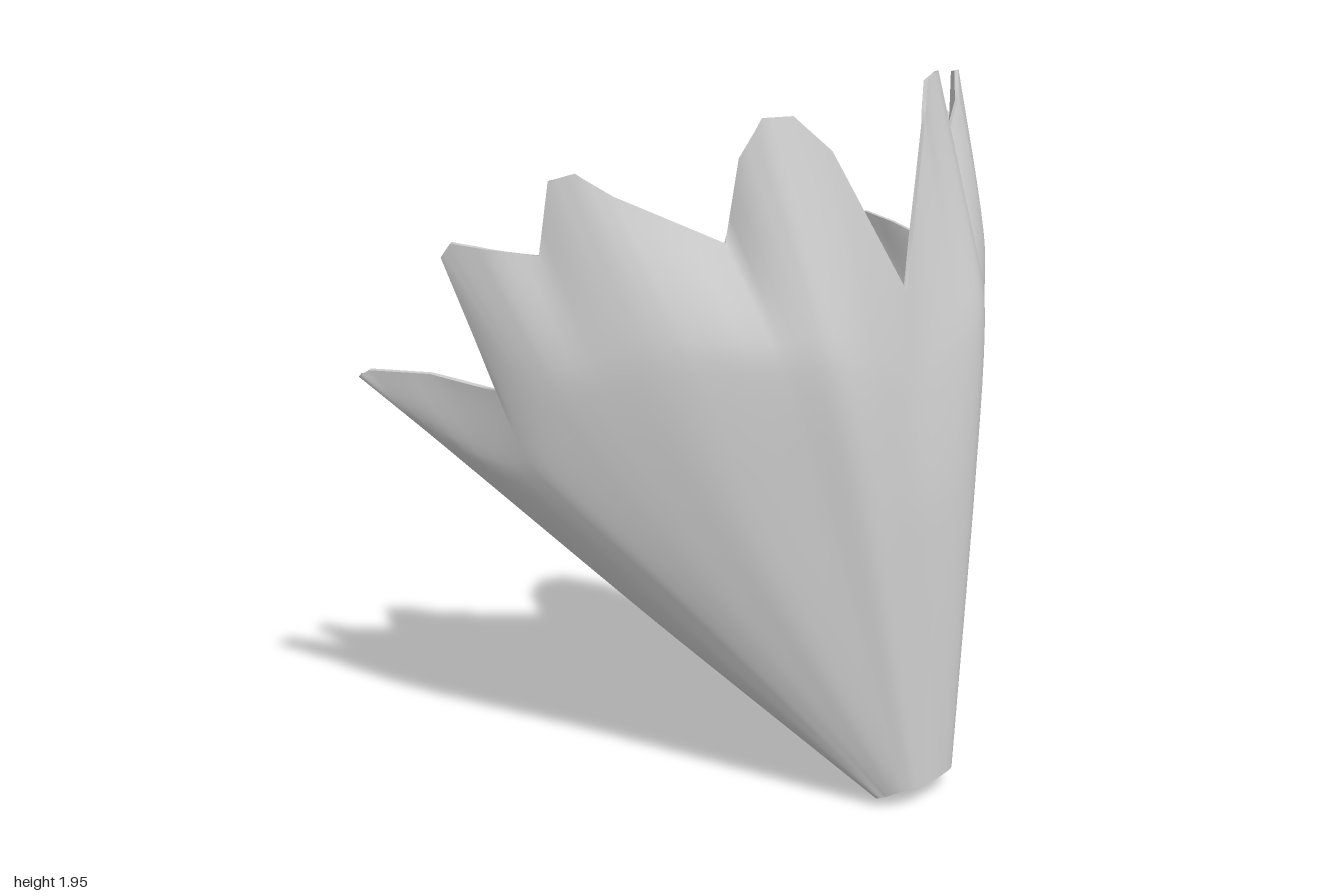
import * as THREE from 'three';

// Rings of the fan from its centre line to the back edge: [u, x, y, z]
const base = [
  [0, 0, 0.075, 0.587], [0.9, 0.07, 0.073, 0.577], [1.5, 0.1, 0.066, 0.557], [2.4, 0.115, 0.055, 0.535],
  [3.5, 0.125, 0.04, 0.51], [5, 0.13, 0.025, 0.48], [5.3, 0.08, 0, 0.455],
];
const middle = [
  [0, 0, 0.85, 0.53], [1, 0.2, 0.88, 0.525], [1.5, 0.285, 0.82, 0.455], [2.4, 0.41, 0.77, 0.35],
  [3, 0.465, 0.73, 0.275], [3.5, 0.5, 0.68, 0.21], [4, 0.515, 0.62, 0.14], [5, 0.5, 0.54, 0], [5.3, 0.43, 0.53, -0.1],
];
const shoulder = [
  [0, 0, 1.2, 0.48], [1, 0.28, 1.36, 0.468], [1.5, 0.41, 1.36, 0.37], [2.4, 0.63, 1.38, 0.2],
  [3, 0.75, 1.32, 0.06], [3.5, 0.82, 1.26, -0.04], [4, 0.81, 1.04, -0.11], [5, 0.88, 1.06, -0.4], [5.3, 0.79, 1.04, -0.5],
];
// Feather tips and the notches between them
const rim = [
  [0, 0, 1.46, 0.445], [0.55, 0.18, 1.85, 0.345], [0.85, 0.26, 1.945, 0.285], [1.1, 0.34, 1.95, 0.255],
  [1.25, 0.39, 1.85, 0.22], [1.5, 0.415, 1.63, 0.195],
  [2.2, 0.67, 1.78, 0.06], [2.45, 0.74, 1.84, 0], [2.7, 0.785, 1.82, -0.05], [3, 0.805, 1.63, -0.07],
  [3.3, 0.9, 1.65, -0.15], [3.5, 0.95, 1.66, -0.235], [3.6, 0.96, 1.62, -0.262], [3.85, 0.905, 1.4, -0.21],
  [4, 0.87, 1.26, -0.18], [4.5, 0.92, 1.27, -0.38], [4.85, 0.985, 1.255, -0.55], [5, 1, 1.235, -0.575],
  [5.3, 0.95, 1.21, -0.588],
];
const ROWS = 24;
const THICKNESS = 0.012;

// Slope of coordinate k at a ring corner
function slope(ring, i, k) {
  const p = ring[Math.max(i - 1, 0)];
  const q = ring[Math.min(i + 1, ring.length - 1)];
  return (q[k] - p[k]) / (q[0] - p[0]);
}

// Point on a ring at u, rounded or straight; negative u mirrors to the other side
function ringPoint(ring, u, rounded) {
  const a = Math.abs(u);
  let i = 0;
  while (i < ring.length - 2 && ring[i + 1][0] < a) i++;
  const [p, q] = [ring[i], ring[i + 1]];
  const h = q[0] - p[0];
  const t = (a - p[0]) / h;
  const [x, y, z] = [1, 2, 3].map((k) => {
    const line = THREE.MathUtils.lerp(p[k], q[k], t);
    if (!rounded) return line;
    const d = q[k] - p[k];
    const bendStart = slope(ring, i, k) * h - d;
    const bendEnd = slope(ring, i + 1, k) * h - d;
    return line + t * (1 - t) * ((1 - t) * bendStart - t * bendEnd);
  });
  return new THREE.Vector3(u < 0 ? -x : x, y, z);
}

// Column positions: every rim corner with steps between, on both sides
function columns() {
  const half = [];
  const steps = 3;
  for (let i = 0; i < rim.length - 1; i++) {
    for (let s = 0; s < steps; s++) half.push(THREE.MathUtils.lerp(rim[i][0], rim[i + 1][0], s / steps));
  }
  half.push(rim[rim.length - 1][0]);
  return [...half.slice(1).reverse().map((u) => -u), ...half];
}

function surface(positions, indices) {
  const geometry = new THREE.BufferGeometry();
  geometry.setAttribute('position', new THREE.Float32BufferAttribute(positions, 3));
  geometry.setIndex(indices);
  geometry.computeVertexNormals();
  return geometry;
}

function outerSurface(us) {
  const positions = [];
  const indices = [];
  for (const u of us) {
    const points = [base, middle, shoulder, rim].map((r) => ringPoint(r, u, r !== rim));
    const rib = new THREE.CatmullRomCurve3(points, false, 'catmullrom', 0.3);
    for (let j = 0; j <= ROWS; j++) positions.push(...rib.getPoint(j / ROWS).toArray());
  }
  for (let i = 0; i < us.length - 1; i++) {
    for (let j = 0; j < ROWS; j++) {
      const a = i * (ROWS + 1) + j;
      const b = a + ROWS + 1;
      indices.push(a, b, b + 1, a, b + 1, a + 1);
    }
  }
  return surface(positions, indices);
}

// The same sheet moved inwards by the thickness and turned over
function innerSurface(outer) {
  const { position, normal } = outer.attributes;
  const positions = Array.from(position.array, (v, i) => v - THICKNESS * normal.array[i]);
  return surface(positions, Array.from(outer.index.array).reverse());
}

// Narrow wall joining the two sheets all round the border
function edgeSurface(outer, inner, count) {
  const n = ROWS + 1;
  const loop = [];
  for (let i = 0; i < count - 1; i++) loop.push(i * n);
  for (let j = 0; j < ROWS; j++) loop.push((count - 1) * n + j);
  for (let i = count - 1; i > 0; i--) loop.push(i * n + ROWS);
  for (let j = ROWS; j > 0; j--) loop.push(j);
  const positions = [];
  const indices = [];
  loop.forEach((v, i) => {
    for (const g of [outer, inner]) positions.push(...g.attributes.position.array.slice(v * 3, v * 3 + 3));
    const a = i * 2;
    const b = ((i + 1) % loop.length) * 2;
    indices.push(a, a + 1, b, b, a + 1, b + 1);
  });
  return surface(positions, indices);
}

export function createModel() {
  const group = new THREE.Group();
  group.name = 'featherFan';
  const material = new THREE.MeshStandardMaterial({ color: 0xcccccc, side: THREE.DoubleSide });
  const us = columns();
  const outer = outerSurface(us);
  const inner = innerSurface(outer);
  const parts = { fanOuter: outer, fanInner: inner, fanEdge: edgeSurface(outer, inner, us.length) };
  for (const [name, geometry] of Object.entries(parts)) {
    const mesh = new THREE.Mesh(geometry, material);
    mesh.name = name;
    group.add(mesh);
  }
  return group;
}
